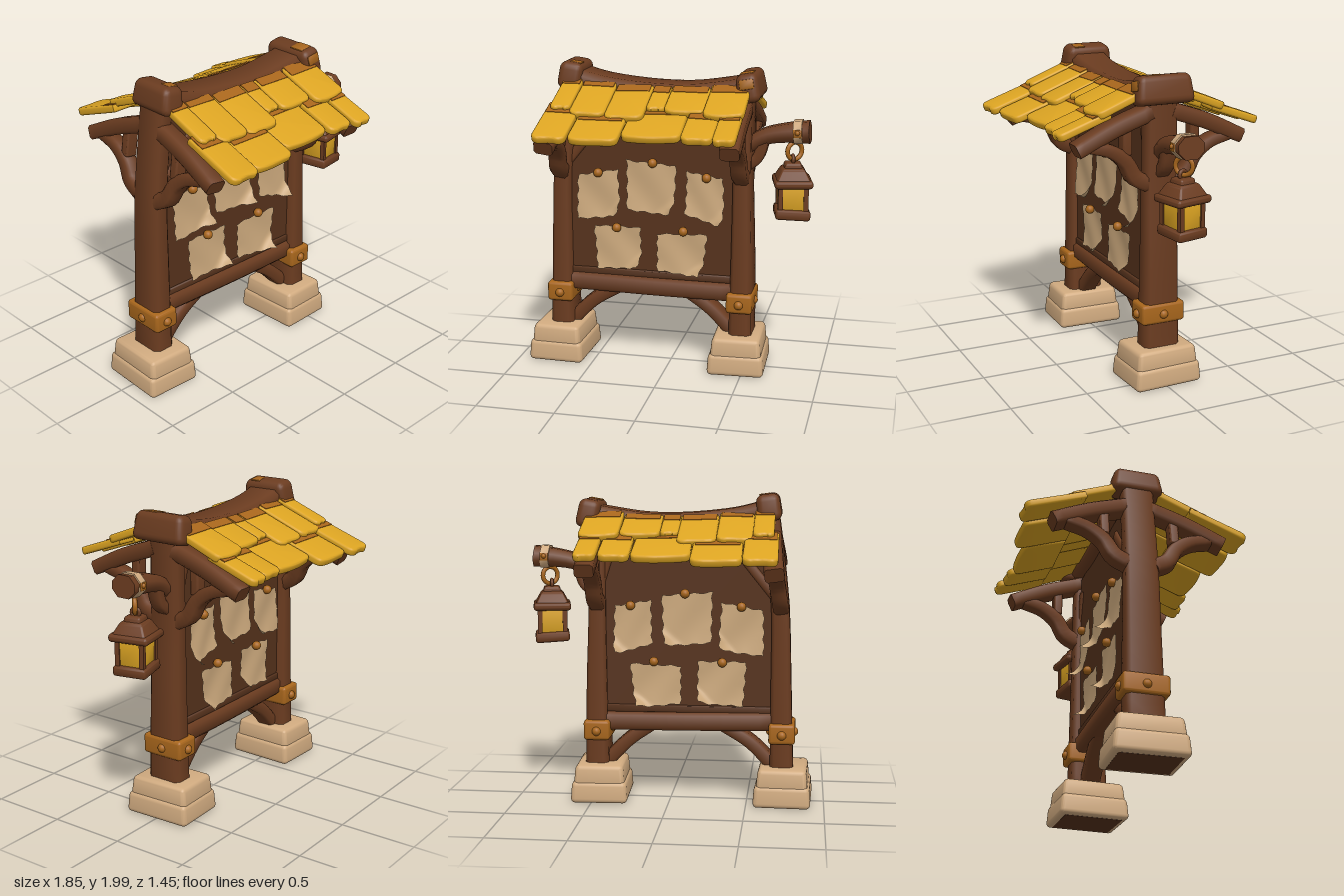
import * as THREE from 'three';
import { toCreasedNormals } from 'three/addons/utils/BufferGeometryUtils.js';
import { RoundedBoxGeometry } from 'three/addons/geometries/RoundedBoxGeometry.js';

const paint = (name, color) => {
  const m = new THREE.MeshStandardMaterial({ color });
  m.name = name;
  return m;
};

export function createModel() {
  const wood = paint('wood', 0x6b3c20), darkWood = paint('dark wood', 0x56321c);
  const stone = paint('stone', 0xd1ab80), parchment = paint('parchment', 0xcba87c);
  const copper = paint('copper', 0xa8661c), yellow = paint('yellow', 0xdca422);
  parchment.side = THREE.DoubleSide;
  const root = new THREE.Group();
  root.name = 'noticeBoard';

  const add = (name, geo, mat, x = 0, y = 0, z = 0, parent = root) => {
    const m = new THREE.Mesh(geo, mat);
    m.name = name;
    m.position.set(x, y, z);
    parent.add(m);
    return m;
  };

  // Rounded box whose top is narrowed by tx and tz
  const block = (w, h, d, r = 0.02, tx = 1, tz = tx) => {
    const g = new RoundedBoxGeometry(w, h, d, 3, r), p = g.attributes.position;
    for (let i = 0; i < p.count; i++) {
      const t = p.getY(i) / h + 0.5;
      p.setX(i, p.getX(i) * (1 + (tx - 1) * t));
      p.setZ(i, p.getZ(i) * (1 + (tz - 1) * t));
    }
    return toCreasedNormals(g, 0.7);
  };

  // Chamfered timber swept through points [x, y, width, depth] in the xy plane
  const timber = (pts, n = 10, chamfer = 0.35) => {
    const path = new THREE.CatmullRomCurve3(pts.map(p => new THREE.Vector3(p[0], p[1], 0)));
    const size = new THREE.CatmullRomCurve3(pts.map((p, i) => new THREE.Vector3(p[2], p[3], i * 1e-3)));
    const pos = [], idx = [];
    for (let i = 0; i <= n; i++) {
      const p = path.getPoint(i / n), t = path.getTangent(i / n), s = size.getPoint(i / n);
      const a = s.x / 2, b = s.y / 2, c = chamfer * Math.min(a, b);
      const ring = [[a, -b + c], [a, b - c], [a - c, b], [c - a, b], [-a, b - c], [-a, c - b], [c - a, -b], [a - c, -b]];
      for (const [u, v] of ring) pos.push(p.x - t.y * u, p.y + t.x * u, v);
    }
    for (let i = 0; i < n; i++) for (let j = 0; j < 8; j++) {
      const a = i * 8 + j, b = i * 8 + (j + 1) % 8;
      idx.push(a, b, a + 8, b, b + 8, a + 8);
    }
    for (let j = 1; j < 7; j++) idx.push(0, j + 1, j, n * 8, n * 8 + j, n * 8 + j + 1);
    const g = new THREE.BufferGeometry();
    g.setAttribute('position', new THREE.Float32BufferAttribute(pos, 3));
    g.setIndex(idx);
    return toCreasedNormals(g, 0.9);
  };
  const ball = r => new THREE.SphereGeometry(r, 14, 10);

  // Posts
  add('leftPost', timber([[-0.725, 0.2, 0.15, 0.24], [-0.715, 0.8, 0.13, 0.22], [-0.705, 1.25, 0.115, 0.21],
    [-0.665, 1.65, 0.11, 0.2], [-0.63, 1.9, 0.11, 0.2]], 16), wood);
  add('rightPost', timber([[0.475, 0.2, 0.15, 0.24], [0.475, 0.8, 0.13, 0.22], [0.47, 1.25, 0.11, 0.21],
    [0.475, 1.87, 0.11, 0.2]], 16), wood);

  // Stone feet and copper bands with studs
  for (const [side, x, px, turn] of [['left', -0.735, -0.725, -0.03], ['right', 0.456, 0.472, 0.04]]) {
    const foot = new THREE.Group();
    foot.name = side + 'Foot';
    foot.position.x = x;
    foot.rotation.y = turn;
    root.add(foot);
    add('footLower', block(0.37, 0.14, 0.46, 0.03, 0.95), stone, 0, 0.07, 0, foot);
    add('footUpper', block(0.335, 0.16, 0.43, 0.03, 0.92), stone, 0, 0.165, 0, foot);
    add('footUnderside', new THREE.BoxGeometry(0.29, 0.006, 0.38), darkWood, 0, 0.002, 0, foot);
    add(side + 'Band', block(0.17, 0.13, 0.29, 0.02), copper, px, 0.465, 0);
    for (const s of [-1, 1]) {
      add(side + 'BandStud', ball(0.03), copper, px, 0.46, s * 0.14);
      add(side + 'BandStud', ball(0.03), copper, px + s * 0.075, 0.46, 0);
    }
  }

  // Board, lower rail and corner braces
  add('board', new THREE.BoxGeometry(1.13, 1.2, 0.13), darkWood, -0.12, 1.16, 0);
  add('lowerRail', timber([[-0.7, 0.535, 0.12, 0.19], [-0.1, 0.525, 0.12, 0.2], [0.46, 0.52, 0.12, 0.19]]), wood);
  add('railLip', block(1.1, 0.05, 0.155, 0.01), darkWood, -0.12, 0.605, 0);
  add('leftLowBrace', timber([[-0.68, 0.23, 0.09, 0.12], [-0.52, 0.39, 0.085, 0.12], [-0.34, 0.5, 0.08, 0.12]]), wood);
  add('rightLowBrace', timber([[0.43, 0.23, 0.09, 0.12], [0.27, 0.39, 0.085, 0.12], [0.11, 0.5, 0.08, 0.12]]), wood);
  add('leftHighBrace', timber([[-0.67, 1.34, 0.06, 0.16], [-0.42, 1.65, 0.06, 0.16]], 2), wood);
  add('rightHighBrace', timber([[0.45, 1.42, 0.06, 0.16], [0.38, 1.64, 0.06, 0.16]], 2), wood);

  // Sagging ridge beam with end caps
  add('ridgeBeam', timber([[-0.66, 1.9, 0.13, 0.26], [-0.4, 1.835, 0.13, 0.25], [0.1, 1.803, 0.13, 0.25],
    [0.52, 1.86, 0.13, 0.26]], 16, 0.5), wood);
  const leftCap = add('leftCap', block(0.155, 0.17, 0.34, 0.045, 0.94, 0.85), wood, -0.625, 1.905, 0);
  leftCap.rotation.z = -0.14;
  add('leftCapPatch', block(0.07, 0.009, 0.07, 0.004), copper, 0.02, 0.083, 0.07, leftCap);
  const rightCap = add('rightCap', block(0.145, 0.18, 0.39, 0.045, 0.92, 0.88), wood, 0.51, 1.865, 0);
  rightCap.rotation.z = 0.18;
  add('rightCapPatch', block(0.085, 0.009, 0.1, 0.004), copper, 0, 0.088, 0.075, rightCap);
  const capFront = add('rightCapFrontPatch', block(0.09, 0.06, 0.009, 0.004), copper, 0, 0.03, 0.179, rightCap);
  capFront.rotation.x = -0.13;

  // Rafters and curved roof braces on both ends, leaning with their post
  for (const [x, lean] of [[-0.89, -0.14], [0.47, 0]]) for (const s of [-1, 1]) {
    const frame = new THREE.Group();
    frame.name = 'roofFrame';
    frame.position.x = x;
    frame.rotation.set(0, -s * Math.PI / 2, lean, 'ZYX');
    root.add(frame);
    add('rafter', timber([[0.07, 1.73, 0.1, 0.12], [0.3, 1.65, 0.1, 0.12], [0.55, 1.535, 0.09, 0.12]]), wood, 0, 0, 0, frame);
    add('roofBrace', timber([[0.08, 1.29, 0.1, 0.1], [0.17, 1.34, 0.1, 0.1], [0.23, 1.44, 0.09, 0.1],
      [0.33, 1.515, 0.08, 0.1], [0.46, 1.55, 0.07, 0.1]], 14), wood, 0, 0, 0, frame);
    add('roofStrut', block(0.06, 0.2, 0.08, 0.012), wood, 0.225, 1.58, 0, frame);
  }

  // Roof tiles: [x start, x end, z of the lower edge, z where the copper band ends]
  const tile = (w, len, seed) => {
    const h = w / 2, r = Math.min(0.05, w * 0.3), s = new THREE.Shape();
    s.moveTo(-h * 0.97, 0);
    s.lineTo(-h, -len + r);
    s.quadraticCurveTo(-h, -len, -h + r, -len - 0.004);
    s.bezierCurveTo(-h / 3, -len + 0.016 * Math.sin(seed), h / 3, -len + 0.016 * Math.cos(seed * 2), h - r, -len);
    s.quadraticCurveTo(h, -len, h, -len + r);
    s.lineTo(h * 0.97, 0);
    s.closePath();
    const g = new THREE.ExtrudeGeometry(s, { depth: 0.022, bevelEnabled: true, bevelThickness: 0.014,
      bevelSize: 0.014, bevelOffset: -0.014, bevelSegments: 3, curveSegments: 5 });
    g.translate(0, 0, 0.014);
    return toCreasedNormals(g, 0.7);
  };
  const rows = [
    { z: 0.1, y: 1.82, a: 0.375, tiles: [[-0.67, -0.54, 0.415, 0.16], [-0.542, -0.32, 0.445, 0.15], [-0.322, -0.08, 0.445, 0.17],
      [-0.083, 0.033, 0.34, 0.17], [0.032, 0.282, 0.365, 0.165], [0.28, 0.53, 0.415, 0.18]] },
    { z: 0.33, y: 1.7, a: 0.345, tiles: [[-0.7, -0.49, 0.71, 0.435], [-0.488, -0.18, 0.67, 0.465], [-0.178, 0.183, 0.6, 0.36],
      [0.187, 0.378, 0.625, 0.41], [0.383, 0.52, 0.655, 0.435]] }
  ];
  for (const s of [-1, 1]) {
    const slope = new THREE.Group();
    slope.name = s > 0 ? 'frontRoof' : 'backRoof';
    root.add(slope);
    rows.forEach((row, k) => row.tiles.forEach(([x0, x1, zEnd, zBand], i) => {
      // The back slope is turned round, so x is negated to mirror it
      const x = (x0 + x1) / 2, len = (zEnd - row.z) / Math.cos(row.a), band = (zBand - row.z) / Math.cos(row.a);
      const t = new THREE.Group();
      t.name = 'roofTile';
      t.position.set(x * s, row.y + 0.035 * ((x + 0.05) / 0.6) ** 2 - 0.01, row.z);
      t.rotation.x = row.a - Math.PI / 2;
      t.rotation.y = 0.03 * Math.sin(i * 2.3 + k);
      slope.add(t);
      add('tileBody', tile(x1 - x0, len, i + k * 3), yellow, 0, 0, 0, t);
      add('tileBand', new THREE.BoxGeometry((x1 - x0) * 0.88, band, 0.006), copper, 0, -band / 2, 0.0505, t);
    }));
    if (s < 0) slope.rotation.y = Math.PI;
  }

  // Pinned papers with a curled corner: corners clockwise from top left, then the pin
  const papers = [
    [-0.6, 1.255, -0.335, 1.305, -0.31, 0.995, -0.605, 0.965, -0.46, 1.28],
    [-0.275, 1.37, 0.05, 1.345, 0.04, 1.015, -0.27, 1.045, -0.1, 1.36],
    [0.12, 1.315, 0.355, 1.275, 0.365, 0.955, 0.11, 1.035, 0.25, 1.28],
    [-0.495, 0.925, -0.185, 0.925, -0.175, 0.65, -0.475, 0.635, -0.34, 0.92],
    [-0.075, 0.89, 0.255, 0.905, 0.225, 0.615, -0.075, 0.645, 0.1, 0.92]
  ];
  const paper = (c, s, seed) => {
    const g = new THREE.PlaneGeometry(1, 1, 16, 16), p = g.attributes.position;
    const mix = (k, u, v) => (c[k] * (1 - u) + c[k + 2] * u) * v + (c[k + 6] * (1 - u) + c[k + 4] * u) * (1 - v);
    for (let i = 0; i < p.count; i++) {
      const u = p.getX(i) + 0.5, v = p.getY(i) + 0.5;
      const curl = Math.max(0, (u - v - 0.55) / 0.45) ** 2;
      const ragX = 0.006 * Math.sin(v * 21 + seed * 2) * (2 * u - 1) ** 4;
      const ragY = 0.005 * Math.sin(u * 19 + seed) * (2 * v - 1) ** 4;
      const z = 0.088 + 0.004 * Math.sin(u * 6 + v * 5 + seed) + 0.015 * (1 - v) ** 3 + 0.08 * curl;
      p.setXYZ(i, mix(0, u, v) + ragX - 0.02 * curl, mix(1, u, v) + ragY + 0.03 * curl, z * s);
    }
    if (s < 0) g.index.array.reverse();
    g.computeVertexNormals();
    return g;
  };
  for (const s of [-1, 1]) papers.forEach((c, i) => {
    add('paper', paper(c, s, i), parchment);
    add('pin', ball(0.03), copper, c[8], c[9], s * 0.105);
  });

  // Lantern arm with a banded end
  add('lanternArm', timber([[0.49, 1.48, 0.09, 0.12], [0.6, 1.545, 0.1, 0.13], [0.74, 1.575, 0.115, 0.15],
    [0.885, 1.585, 0.135, 0.17]], 10, 0.65), wood);
  add('armBrace', timber([[0.5, 1.36, 0.07, 0.09], [0.56, 1.41, 0.07, 0.09], [0.6, 1.53, 0.07, 0.09]]), wood);
  add('armBand', timber([[0.785, 1.582, 0.14, 0.176], [0.84, 1.585, 0.143, 0.18]], 1, 0.65), stone);
  for (const s of [-1, 1]) {
    add('armBandPlate', block(0.055, 0.05, 0.008, 0.003), copper, 0.813, 1.585, s * 0.088);
    add('armBandStud', ball(0.016), copper, 0.813, 1.59, s * 0.09);
  }

  // Hanging lantern
  const lantern = new THREE.Group();
  lantern.name = 'lantern';
  lantern.position.x = 0.78;
  lantern.rotation.y = 0.22;
  root.add(lantern);
  const hang = (name, geo, mat, x, y, z) => add(name, geo, mat, x, y, z, lantern);
  hang('ring', new THREE.TorusGeometry(0.054, 0.015, 8, 24), copper, 0.01, 1.46, 0).rotation.y = 0.5;
  hang('loop', new THREE.TorusGeometry(0.026, 0.012, 8, 16), wood, 0, 1.405, 0).rotation.y = 1.6;
  hang('knob', block(0.12, 0.05, 0.12, 0.015, 0.85), wood, 0, 1.365, 0);
  hang('lanternRoof', block(0.24, 0.1, 0.25, 0.02, 0.55), wood, 0, 1.31, 0);
  hang('eaves', block(0.24, 0.05, 0.26, 0.02), wood, 0, 1.265, 0);
  hang('glass', block(0.165, 0.19, 0.165, 0.01, 1.08), yellow, 0, 1.17, 0);
  for (const x of [-1, 1]) for (const z of [-1, 1])
    hang('cornerBar', new THREE.BoxGeometry(0.03, 0.18, 0.03), wood, x * 0.08, 1.17, z * 0.08);
  hang('lanternBase', block(0.22, 0.065, 0.22, 0.02), wood, 0, 1.065, 0).rotation.z = -0.06;

  return root;
}
